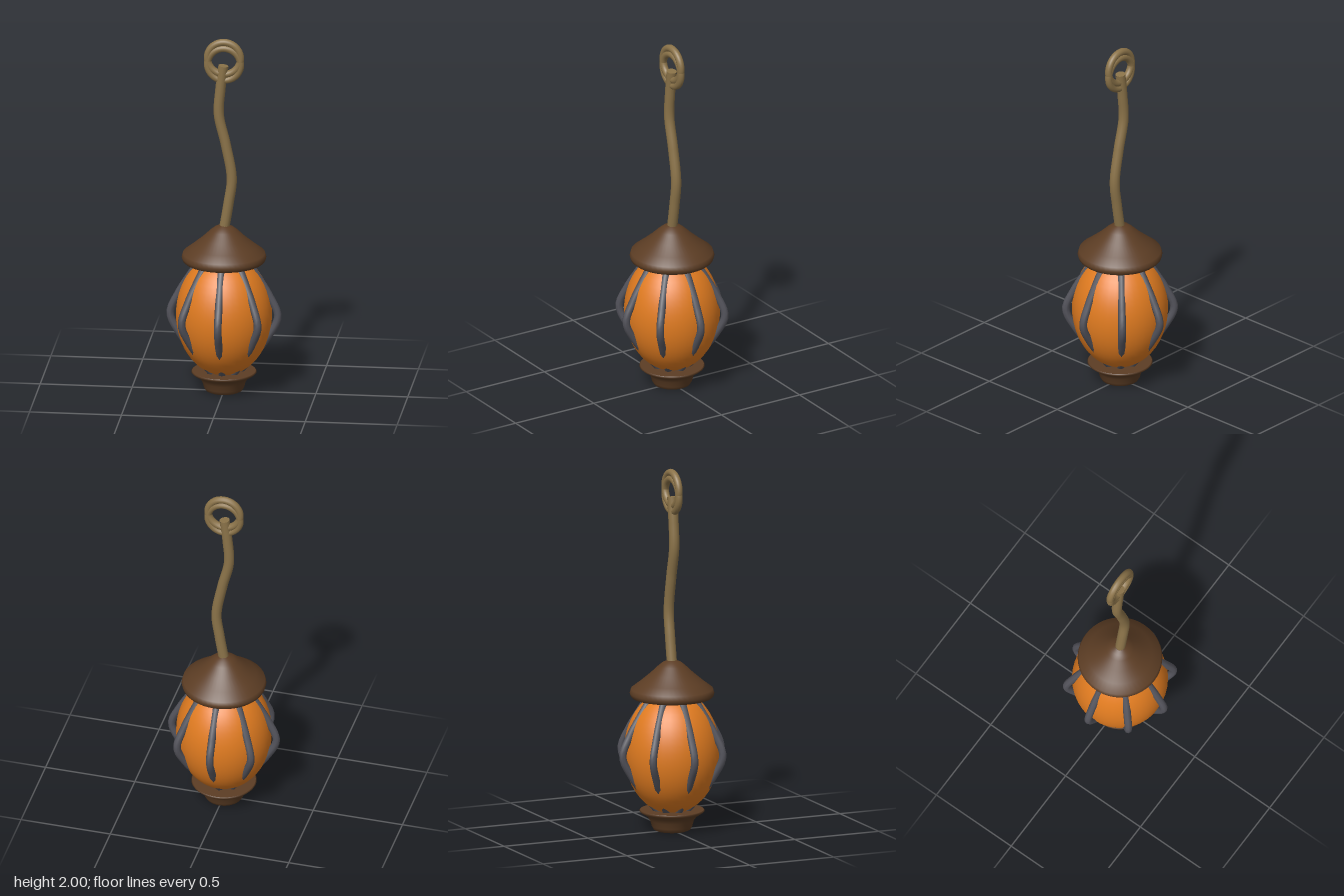
import * as THREE from 'three';

const material = (name, color, extra = {}) => {
  const m = new THREE.MeshStandardMaterial({ color, ...extra });
  m.name = name;
  return m;
};
const vec2 = (p) => new THREE.Vector2(p[0], p[1]);
const vec3 = (p) => new THREE.Vector3(p[0], p[1], 0);

export function createModel() {
  const group = new THREE.Group();
  const wood = material('dark wood', 0x5c3d24);
  const rope = material('rope', 0x8b7349);
  const glow = material('amber glass', 0xe07b20);
  const iron = material('iron', 0x54545c);

  const add = (name, geometry, mat, parent = group) => {
    const mesh = new THREE.Mesh(geometry, mat);
    mesh.name = name;
    parent.add(mesh);
    return mesh;
  };

  // Turned part: smooth outer profile, closed by flat discs at both ends
  const turned = (name, profile, bottom, top) => {
    const part = new THREE.Group();
    part.name = name;
    group.add(part);
    add(name + 'Side', new THREE.LatheGeometry(profile.map(vec2), 48), wood, part);
    const disc = (p, dir) => {
      const d = add(name + (dir > 0 ? 'Top' : 'Underside'), new THREE.CircleGeometry(p[0], 48), wood, part);
      d.rotation.x = -dir * Math.PI / 2;
      d.position.y = p[1];
    };
    disc(bottom, -1);
    disc(top, 1);
  };

  // Tube along a bent path, with closed ends
  const cord = (name, points, radius, segments, sides, mat, parent = group) => {
    const curve = new THREE.CatmullRomCurve3(points.map(vec3));
    add(name, new THREE.TubeGeometry(curve, segments, radius, sides), mat, parent);
    [0, 1].forEach((t) => {
      const end = add(name + 'End', new THREE.CircleGeometry(radius, sides), mat, parent);
      const p = curve.getPointAt(t);
      const dir = curve.getTangentAt(t).multiplyScalar(t ? 1 : -1);
      end.position.copy(p);
      end.quaternion.setFromUnitVectors(new THREE.Vector3(0, 0, 1), dir);
    });
  };

  // Base dish
  const base = [[0.085, 0.005], [0.1, 0.012], [0.11, 0.03], [0.118, 0.06], [0.135, 0.085],
    [0.168, 0.105], [0.177, 0.114], [0.172, 0.12]];
  turned('base', base, base[0], base[base.length - 1]);

  // Roof cap
  const cap = [[0.215, 0.74], [0.224, 0.748], [0.229, 0.765], [0.222, 0.788], [0.175, 0.824],
    [0.12, 0.87], [0.075, 0.913], [0.05, 0.933], [0.025, 0.944]];
  turned('cap', cap, cap[0], cap[cap.length - 1]);

  // Glowing globe
  const globe = add('globe', new THREE.SphereGeometry(0.26, 40, 28), glow);
  globe.scale.y = 0.34 / 0.26;
  globe.position.y = 0.44;

  // Eight bowed cage bars
  const bar = [[0.08, 0.115], [0.15, 0.2], [0.24, 0.32], [0.293, 0.435], [0.248, 0.55],
    [0.188, 0.65], [0.155, 0.7], [0.12, 0.75]];
  for (let i = 0; i < 8; i++) {
    const arm = new THREE.Group();
    arm.name = 'cageBar' + (i + 1);
    arm.rotation.y = i * Math.PI / 4;
    cord('bar', bar, 0.021, 28, 8, iron, arm);
    group.add(arm);
  }

  // Wavy hanging rope
  cord('hangingRope', [[0, 0.92], [0.025, 1.07], [0.042, 1.21], [0.01, 1.4], [-0.028, 1.57],
    [-0.02, 1.71], [-0.003, 1.848]], 0.028, 60, 12, rope);

  // Two overlapping loops at the top
  [1.89, 1.856].forEach((y, i) => {
    const loop = add('ropeLoop' + (i + 1), new THREE.TorusGeometry(0.09, 0.02, 12, 40), rope);
    loop.position.y = y;
  });

  return group;
}
